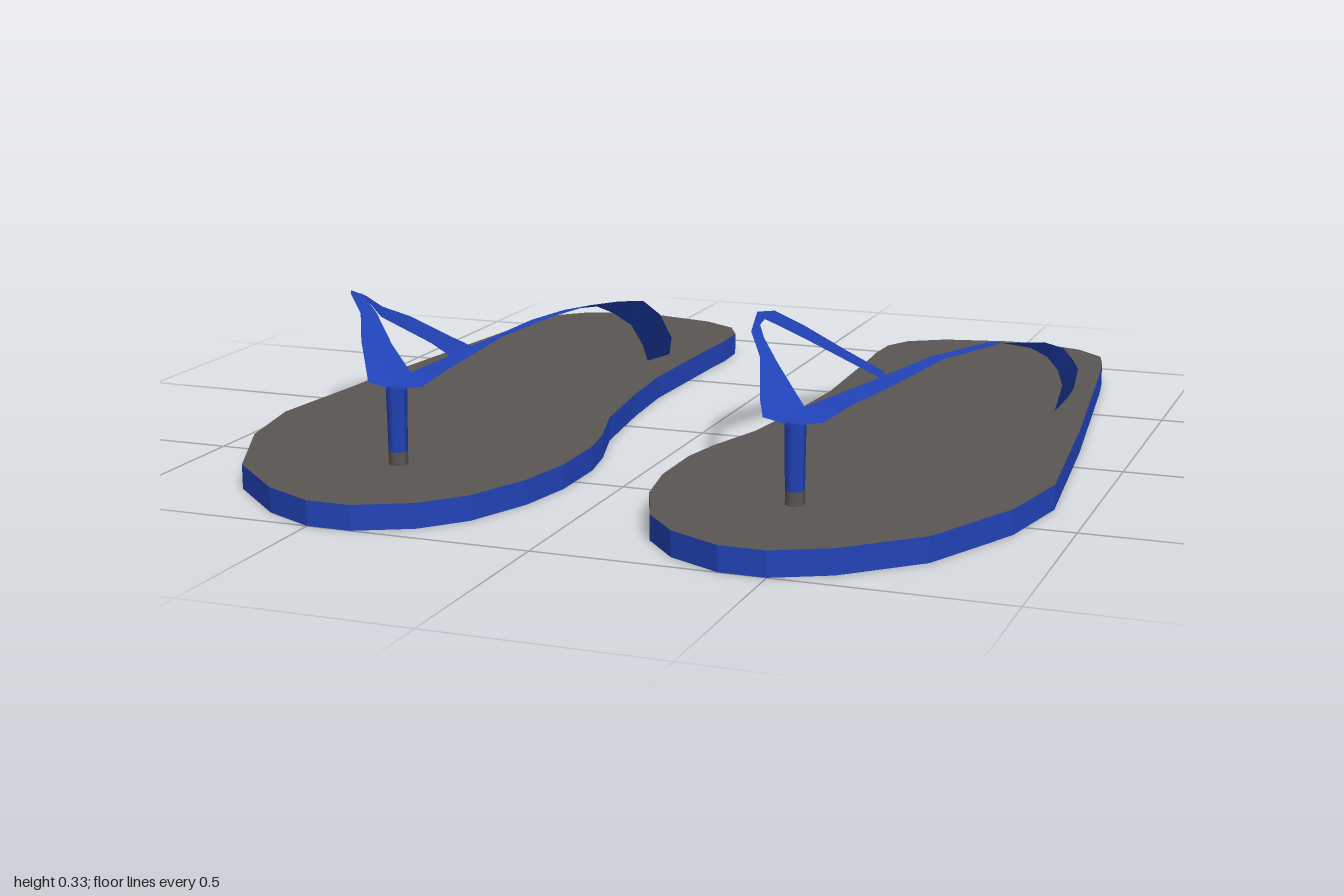
import * as THREE from 'three';

const SOLE_H = 0.055;

// Sole outline as [x, z], starting at the heel
const OUTLINE = [
  [0.5, -1], [0.59, -1], [0.7, -0.965], [0.77, -0.9], [0.79, -0.82], [0.805, -0.72],
  [0.875, -0.13], [0.92, 0.35], [0.88, 0.56], [0.77, 0.8], [0.62, 0.94], [0.5, 1],
  [0.4, 1], [0.28, 0.94], [0.2, 0.85], [0.14, 0.7], [0.115, 0.56], [0.115, 0.4],
  [0.135, 0.29], [0.18, 0.14], [0.21, -0.1], [0.225, -0.29], [0.215, -0.66],
  [0.21, -0.74], [0.215, -0.84], [0.25, -0.91], [0.34, -0.965],
];

// Strap edges from heel end to toe: upper edge and lower edge, [x, y, z]
const OUTER_STRAP = [
  [[0.78, 0.05, -0.43], [0.815, 0.1, -0.34], [0.855, 0.185, -0.18], [0.868, 0.235, -0.05], [0.865, 0.28, 0.04],
    [0.845, 0.315, 0.15], [0.78, 0.333, 0.27], [0.685, 0.318, 0.4], [0.615, 0.285, 0.53], [0.55, 0.258, 0.635]],
  [[0.78, 0.05, -0.29], [0.81, 0.115, -0.2], [0.83, 0.155, -0.13], [0.845, 0.22, 0], [0.835, 0.265, 0.07],
    [0.815, 0.3, 0.15], [0.755, 0.333, 0.26], [0.655, 0.318, 0.38], [0.55, 0.28, 0.51], [0.45, 0.245, 0.615]],
];
const INNER_STRAP = [
  [[0.295, 0.05, -0.55], [0.235, 0.13, -0.41], [0.185, 0.235, -0.2], [0.165, 0.3, -0.04], [0.17, 0.325, 0.1],
    [0.2, 0.333, 0.2], [0.235, 0.33, 0.33], [0.3, 0.305, 0.46], [0.36, 0.258, 0.635]],
  [[0.32, 0.05, -0.46], [0.27, 0.13, -0.3], [0.22, 0.225, -0.1], [0.205, 0.285, 0.05], [0.205, 0.32, 0.15],
    [0.235, 0.333, 0.27], [0.275, 0.325, 0.36], [0.34, 0.295, 0.46], [0.45, 0.245, 0.615]],
];
// Pad joining both straps over the toe post
const TOE_PAD = [
  [[0.36, 0.258, 0.635], [0.45, 0.245, 0.615], [0.55, 0.258, 0.635]],
  [[0.385, 0.235, 0.69], [0.45, 0.225, 0.7], [0.515, 0.235, 0.69]],
];

// Thin sheet between two edges; side mirrors x
function ribbon([a, b], side) {
  const pos = [], idx = [];
  a.forEach((p, i) => {
    for (const q of [p, b[i]]) pos.push(q[0] * side, q[1], q[2]);
    const k = i * 2;
    if (i) idx.push(k - 2, k - 1, k, k - 1, k + 1, k);
  });
  const geo = new THREE.BufferGeometry();
  geo.setAttribute('position', new THREE.Float32BufferAttribute(pos, 3));
  geo.setIndex(idx);
  geo.computeVertexNormals();
  return geo;
}

export function createModel() {
  const grey = new THREE.MeshStandardMaterial({ color: 0x5a5653 });
  grey.name = 'footbed grey';
  const blue = new THREE.MeshStandardMaterial({ color: 0x2143b8, side: THREE.DoubleSide });
  blue.name = 'strap blue';

  const model = new THREE.Group();
  model.name = 'flipFlops';

  for (const side of [1, -1]) {
    const sandal = new THREE.Group();
    sandal.name = side > 0 ? 'leftSandal' : 'rightSandal';
    const add = (name, geo, mat) => {
      const mesh = new THREE.Mesh(geo, mat);
      mesh.name = name;
      sandal.add(mesh);
      return mesh;
    };

    // Sole: grey faces, blue rim
    const shape = new THREE.Shape(OUTLINE.map(([x, z]) => new THREE.Vector2(x * side, -z)));
    const sole = new THREE.ExtrudeGeometry(shape, { depth: SOLE_H, bevelEnabled: false });
    sole.rotateX(-Math.PI / 2);
    add('sole', sole, [grey, blue]);

    // Straps
    add('outerStrap', ribbon(OUTER_STRAP, side), blue);
    add('innerStrap', ribbon(INNER_STRAP, side), blue);
    add('toePad', ribbon(TOE_PAD, side), blue);

    // Toe post with a grey foot
    const post = add('toePost', new THREE.CylinderGeometry(0.023, 0.021, 0.145, 6), blue);
    post.position.set(0.452 * side, 0.1575, 0.68);
    const foot = add('toePostFoot', new THREE.CylinderGeometry(0.021, 0.021, 0.035, 6), grey);
    foot.position.set(0.452 * side, 0.0675, 0.68);

    model.add(sandal);
  }
  return model;
}
